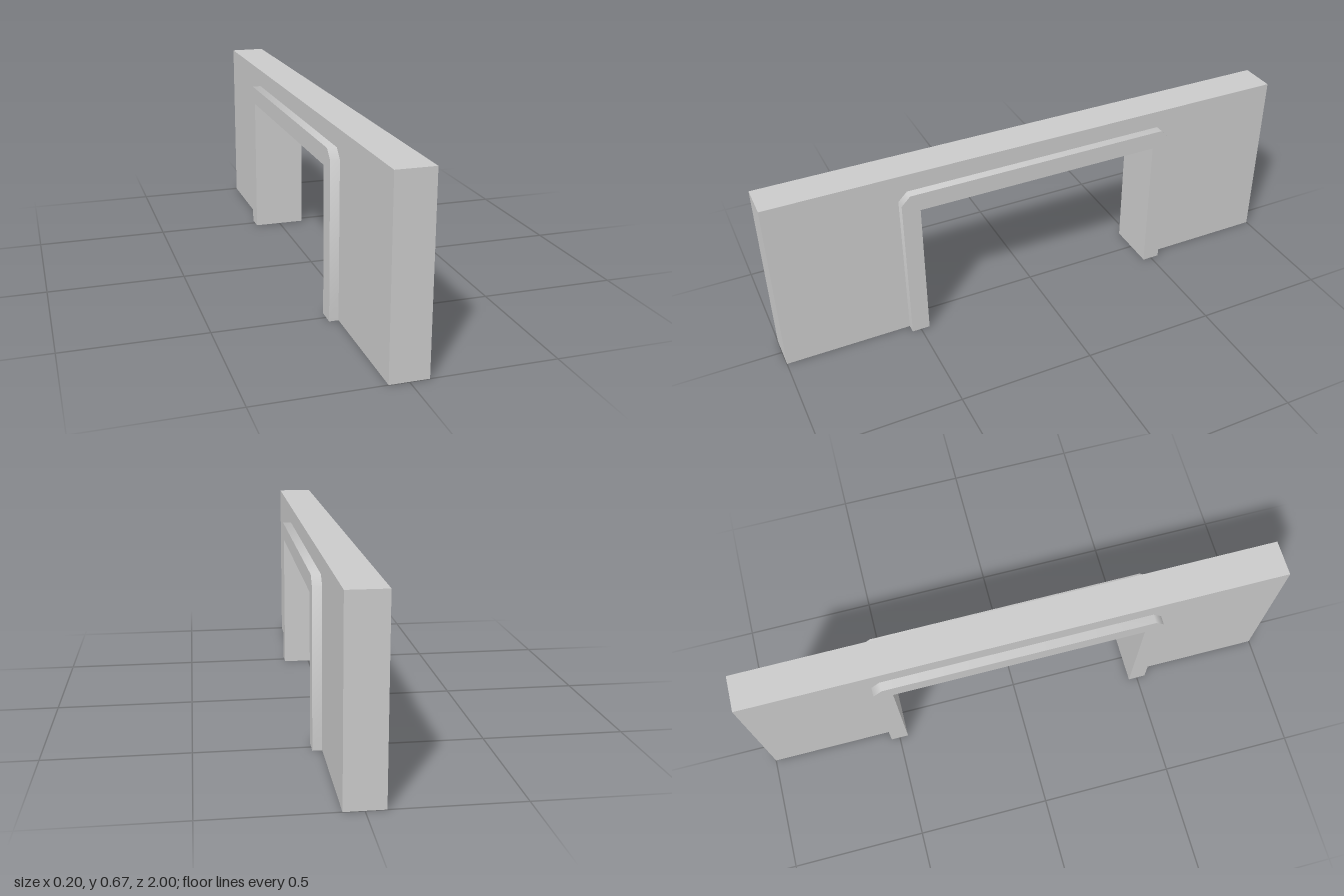
import * as THREE from 'three';
import { toCreasedNormals } from 'three/addons/utils/BufferGeometryUtils.js';

const WALL = { half: 1, top: 0.6667, width: 0.1333 };
const FRAME = { half: 0.5333, top: 0.6, width: 0.2, thickness: 0.0667, chamfer: 0.0333 };

// Mirrors half an outline (z, y), listed from the ground to the top, into an arch
const mirrored = (half) => [...half, ...half.map(([z, y]) => [-z, y]).reverse()];

// Upright slab between an outer and an inner outline, extruded across x
function archPart(name, outer, inner, width, crease) {
  const points = [...mirrored(outer), ...mirrored(inner).reverse()];
  const shape = new THREE.Shape(points.map(([z, y]) => new THREE.Vector2(z, y)));
  const extruded = new THREE.ExtrudeGeometry(shape, { depth: width, bevelEnabled: false });
  extruded.translate(0, 0, -width / 2).rotateY(-Math.PI / 2);
  const geometry = toCreasedNormals(extruded, THREE.MathUtils.degToRad(crease));
  const mesh = new THREE.Mesh(geometry, new THREE.MeshStandardMaterial({ color: 0xcccccc }));
  mesh.name = name;
  return mesh;
}

export function createModel() {
  const group = new THREE.Group();
  group.name = 'doorwayWall';

  const { half, top, thickness, chamfer } = FRAME;
  const frameOuter = [[half, 0], [half, top - chamfer], [half - chamfer, top]];
  const frameInner = [[half - thickness, 0], [half - thickness, top - thickness]];
  const wallOuter = [[WALL.half, 0], [WALL.half, WALL.top]];

  // Wall fitted around the frame
  group.add(archPart('wall', wallOuter, frameOuter, WALL.width, 30));
  // Door frame standing proud on both faces, shaded softly over its chamfered corners
  group.add(archPart('doorFrame', frameOuter, frameInner, FRAME.width, 50));

  return group;
}
